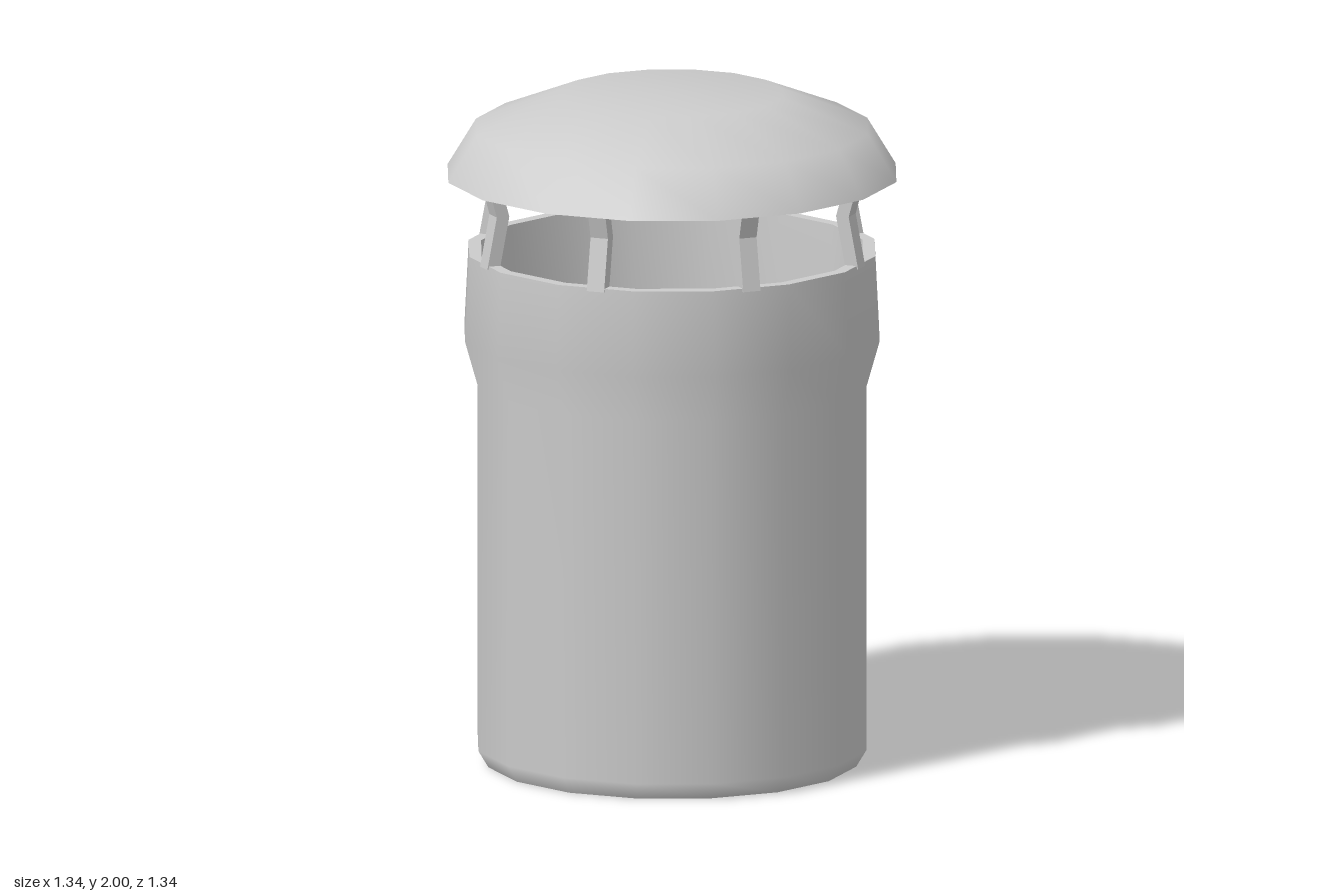
import * as THREE from 'three';
import { mergeGeometries } from 'three/addons/utils/BufferGeometryUtils.js';

const SIDES = 16;
const STRUTS = 8;

// Each profile is smooth in itself; separate profiles meet at a sharp edge.
function turned(name, material, profiles) {
  const parts = profiles.map((p) =>
    new THREE.LatheGeometry(p.map(([r, y]) => new THREE.Vector2(r, y)), SIDES));
  const mesh = new THREE.Mesh(mergeGeometries(parts), material);
  mesh.name = name;
  return mesh;
}

export function createModel() {
  const group = new THREE.Group();
  group.name = 'ventPipe';
  const material = new THREE.MeshStandardMaterial({ color: 0xcccccc });

  // Hollow pipe with a flared collar and an open top
  group.add(turned('pipe', material, [
    [[0, 0], [0.55, 0]],
    [[0.55, 0], [0.58, 0.05], [0.58, 1.14], [0.62, 1.28], [0.607, 1.535]],
    [[0.607, 1.535], [0.57, 1.535]],
    [[0.57, 1.535], [0.55, 1.14], [0.55, 0.06]],
    [[0.55, 0.06], [0, 0.06]],
  ]));

  // Domed rain cap with a flat underside
  group.add(turned('cap', material, [
    [[0, 1.76], [0.67, 1.76]],
    [[0.67, 1.76], [0.585, 1.9], [0.33, 2], [0, 2]],
  ]));

  // Struts, bent inwards at mid height, one on every second facet
  const width = 0.055;
  const bend = new THREE.Shape([
    [0.56, 1.525], [0.6, 1.525], [0.57, 1.68], [0.595, 1.77],
    [0.555, 1.77], [0.53, 1.68],
  ].map(([r, y]) => new THREE.Vector2(r, y)));
  const strutGeometry = new THREE.ExtrudeGeometry(bend, { depth: width, bevelEnabled: false });
  strutGeometry.translate(0, 0, -width / 2);

  const struts = new THREE.Group();
  struts.name = 'struts';
  for (let i = 0; i < STRUTS; i++) {
    const strut = new THREE.Mesh(strutGeometry, material);
    strut.name = 'strut';
    const angle = (1.5 / SIDES + i / STRUTS) * Math.PI * 2;
    strut.rotation.y = angle - Math.PI / 2;
    struts.add(strut);
  }
  group.add(struts);

  return group;
}
